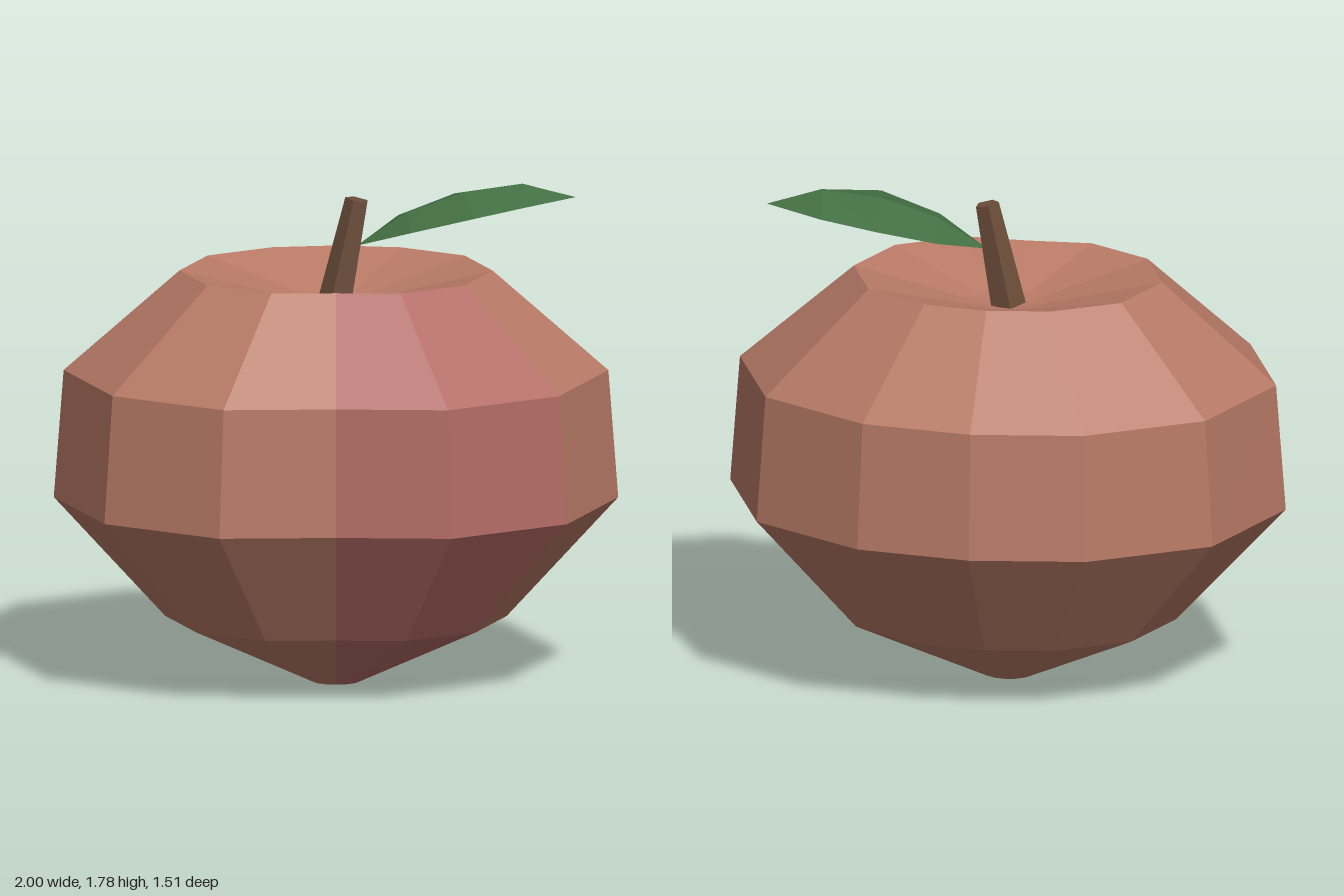
import * as THREE from 'three';

const material = (color, side = THREE.FrontSide) =>
  new THREE.MeshStandardMaterial({ color, flatShading: true, roughness: 0.9, side });

// Skin a column range of stacked rings (lower ring first, points turning from +x to +z).
function loft(rings, first, last) {
  const positions = [];
  const triangle = (a, b, c) => {
    if (a.distanceTo(b) > 1e-5 && b.distanceTo(c) > 1e-5 && c.distanceTo(a) > 1e-5)
      positions.push(...a, ...b, ...c);
  };
  for (let r = 0; r < rings.length - 1; r++) {
    const low = rings[r], high = rings[r + 1], n = low.length;
    for (let j = first; j < last; j++) {
      const k = (j + 1) % n;
      triangle(low[k], low[j], high[j]);
      triangle(low[k], high[j], high[k]);
    }
  }
  const geometry = new THREE.BufferGeometry();
  geometry.setAttribute('position', new THREE.Float32BufferAttribute(positions, 3));
  geometry.computeVertexNormals();
  return geometry;
}

function addMesh(group, name, geometry, mat) {
  const mesh = new THREE.Mesh(geometry, mat);
  mesh.name = name;
  group.add(mesh);
}

export function createModel() {
  const group = new THREE.Group();
  group.name = 'apple';

  // Fruit: a twelve-sided oval section, slightly dented at the front
  const section = [
    [1, 0], [0.82, 0.6], [0.412, 0.925], [0, 0.905], [-0.412, 0.925], [-0.82, 0.6],
    [-1, 0], [-0.82, -0.6], [-0.412, -0.925], [0, -1], [0.412, -0.925], [0.82, -0.6],
  ];
  // Height, half width and half depth from the base up and into the top hollow
  const profile = [
    [0.03, 0, 0], [0, 0.085, 0.067], [0.235, 0.605, 0.475], [0.665, 1, 0.785],
    [1.125, 0.965, 0.758], [1.485, 0.555, 0.436], [1.385, 0.14, 0.11], [1.365, 0, 0],
  ];
  const rings = profile.map(([y, rx, rz]) =>
    section.map(([x, z]) => new THREE.Vector3(x * rx, y, 0.025 + z * rz)));
  const skin = material(0xb87a66);
  addMesh(group, 'fruitSkin', loft(rings, 3, 13 - 1), skin);
  addMesh(group, 'fruitSkinSide', loft(rings, 0, 1), skin);
  // Rosy patch on the front left of the fruit
  addMesh(group, 'blushLower', loft(rings.slice(0, 6), 1, 3), material(0xb26a64));
  addMesh(group, 'hollowFront', loft(rings.slice(5), 1, 3), skin);

  // Stem: a leaning, tapered pentagon with a slightly tilted end
  const stemRing = (x, y, radius, tilt) => Array.from({ length: 5 }, (_, i) => {
    const a = Math.PI + i * Math.PI * 2 / 5;
    const dx = Math.cos(a) * radius;
    return new THREE.Vector3(x + dx, y - dx * tilt, 0.025 + Math.sin(a) * radius);
  });
  const stemRings = [
    stemRing(0, 1.37, 0, 0), stemRing(0, 1.37, 0.064, 0.2),
    stemRing(0.076, 1.742, 0.043, 0.2), stemRing(0.076, 1.742, 0, 0),
  ];
  addMesh(group, 'stem', loft(stemRings, 0, 5), material(0x6c4e3a));

  // Leaf: two sides falling from a raised, arching midrib
  const base = [0.075, 1.575, 0.025], tip = [0.85, 1.73, -0.075];
  const leafRows = [
    [base, base, base],
    [[0.27, 1.65, 0.165], [0.25, 1.69, 0.0], [0.22, 1.645, -0.17]],
    [[0.49, 1.71, 0.21], [0.45, 1.757, -0.02], [0.42, 1.705, -0.26]],
    [[0.67, 1.732, 0.12], [0.66, 1.785, -0.045], [0.63, 1.728, -0.22]],
    [tip, tip, tip],
  ].map(row => row.map(p => new THREE.Vector3(...p)));
  addMesh(group, 'leaf', loft(leafRows, 0, 2), material(0x447044, THREE.DoubleSide));

  return group;
}
